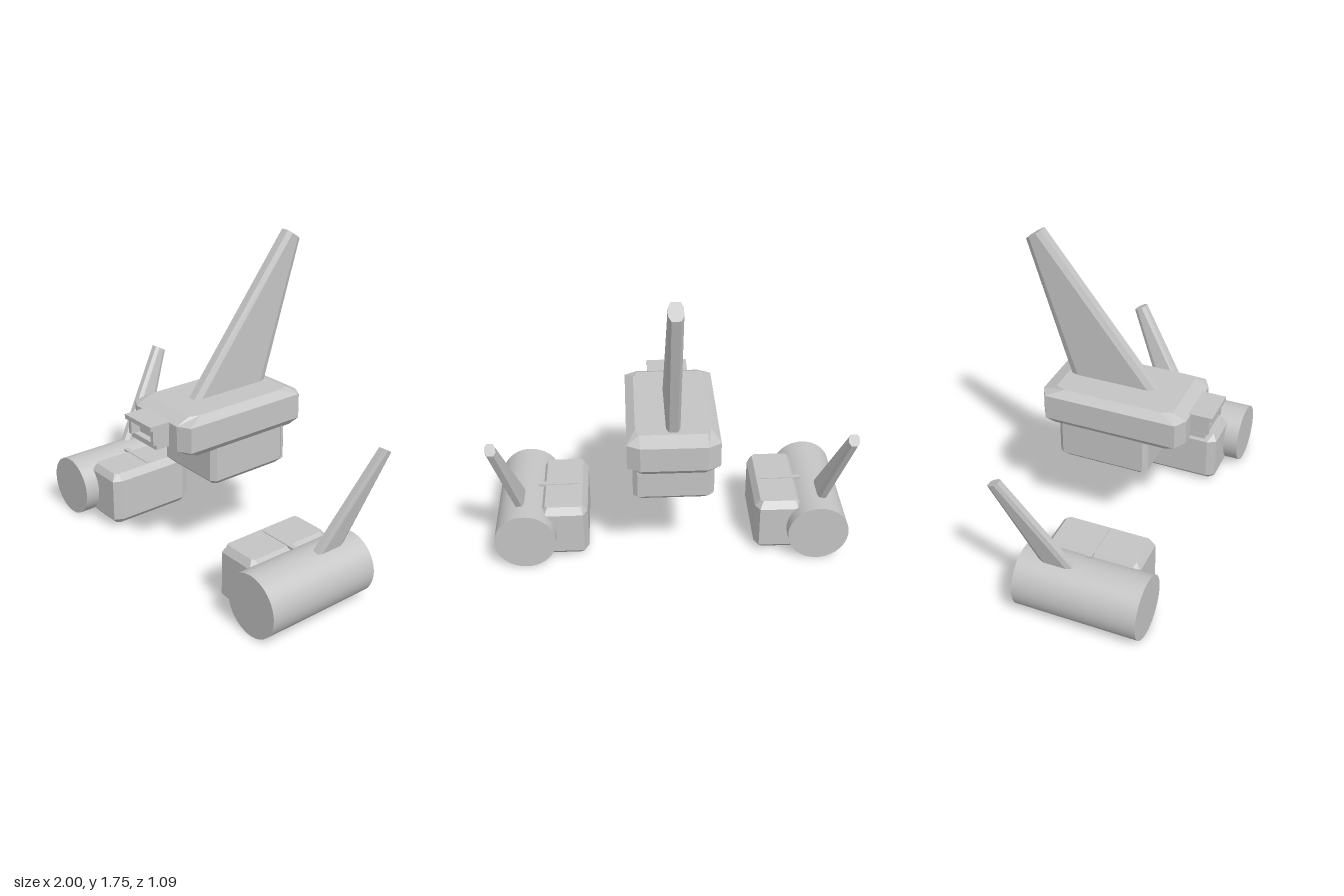
import * as THREE from 'three';

const grey = new THREE.MeshStandardMaterial({ color: 0xc4c4c4 });
grey.name = 'light grey';

// Flat-faced solid through rings of points, bottom to top,
// each ring anticlockwise seen from above
function loft(rings) {
  const pos = [];
  const tri = (...pts) => pts.forEach((p) => pos.push(...p));
  const n = rings[0].length;
  for (let i = 0; i < rings.length - 1; i++) {
    for (let j = 0; j < n; j++) {
      const k = (j + 1) % n;
      const [a, b, c, d] = [rings[i][j], rings[i][k], rings[i + 1][k], rings[i + 1][j]];
      tri(a, b, c);
      tri(a, c, d);
    }
  }
  const low = rings[0], top = rings[rings.length - 1];
  for (let j = 1; j < n - 1; j++) {
    tri(low[0], low[j + 1], low[j]);
    tri(top[0], top[j], top[j + 1]);
  }
  const g = new THREE.BufferGeometry();
  g.setAttribute('position', new THREE.Float32BufferAttribute(pos, 3));
  g.computeVertexNormals();
  return g;
}

// Rectangle with cut corners at height y
function cutRect(y, hw, front, back, cx, cz) {
  return [
    [hw, front - cz], [hw, back + cz], [hw - cx, back], [cx - hw, back],
    [-hw, back + cz], [-hw, front - cz], [cx - hw, front], [hw - cx, front],
  ].map(([x, z]) => [x, y, z]);
}

// Swept fin: tip edge is slanted, front and rear edges are chamfered
function fin({ yBase, yTip, zBase, zTip, half, edge, cut, lean = 0, sink }) {
  const [f0, r0] = zBase, [f1, r1] = zTip, [yf, yr] = yTip;
  const ring = (front, rear, yFront, yRear, c) => [
    [edge, front], [half, front - c], [half, rear + c], [edge, rear],
    [-edge, rear], [-half, rear + c], [-half, front - c], [-edge, front],
  ].map(([x, z]) => {
    const y = yRear + (yFront - yRear) * (z - rear) / (front - rear);
    return [x + lean * (y - yBase), y, z];
  });
  const base = ring(
    f0 + sink * (f0 - f1) / (yf - yBase), r0 + sink * (r0 - r1) / (yr - yBase),
    yBase - sink, yBase - sink, cut);
  return loft([base, ring(f1, r1, yf, yr, cut * 0.6)]);
}

export function createModel() {
  const model = new THREE.Group();
  const add = (name, geometry, parent = model) => {
    const mesh = new THREE.Mesh(geometry, grey);
    mesh.name = name;
    parent.add(mesh);
    return mesh;
  };
  const box = (name, w, h, d, x, y, z, parent = model) =>
    add(name, new THREE.BoxGeometry(w, h, d), parent).position.set(x, y, z);

  // Central hull with bevelled deck
  add('hull', loft([
    cutRect(0.715, 0.215, 0.36, -0.36, 0.05, 0.04),
    cutRect(0.755, 0.247, 0.425, -0.4, 0.07, 0.04),
    cutRect(0.895, 0.247, 0.425, -0.4, 0.07, 0.04),
    cutRect(0.93, 0.2, 0.35, -0.32, 0.02, 0.06),
  ]));

  // Box under the hull, with a thin strip by each rear corner
  add('lowerHull', loft([
    cutRect(0.492, 0.185, 0.185, -0.265, 0.02, 0.02),
    cutRect(0.525, 0.218, 0.22, -0.3, 0.025, 0.025),
    cutRect(0.74, 0.218, 0.22, -0.3, 0.025, 0.025),
  ]));
  for (const s of [-1, 1]) box('lowerHullStrip', 0.008, 0.2, 0.012, s * 0.218, 0.63, -0.262);

  // Stepped open intake on the nose
  const intake = new THREE.Group();
  intake.name = 'noseIntake';
  model.add(intake);
  box('intakeRoof', 0.23, 0.025, 0.165, 0, 0.888, 0.4625, intake);
  box('intakeFloor', 0.22, 0.028, 0.13, 0, 0.776, 0.442, intake);
  box('intakeBack', 0.2, 0.09, 0.1, 0, 0.832, 0.42, intake);
  for (const s of [-1, 1]) box('intakeWall', 0.022, 0.088, 0.145, s * 0.098, 0.833, 0.4525, intake);

  // Tall swept fin on the deck
  add('mainFin', fin({
    yBase: 0.93, yTip: [1.752, 1.692], zBase: [0.19, -0.3], zTip: [-0.455, -0.542],
    half: 0.038, edge: 0.023, cut: 0.04, sink: 0.04,
  }));

  // Engine pod, once per side
  for (const s of [-1, 1]) {
    const pod = new THREE.Group();
    pod.name = s > 0 ? 'leftPod' : 'rightPod';
    model.add(pod);

    const drum = add('drum', new THREE.CylinderGeometry(0.172, 0.172, 0.69, 48), pod);
    drum.rotation.x = Math.PI / 2;
    drum.position.set(s * 0.827, 0.173, 0.13);

    const inner = add('innerBox', loft([
      cutRect(0.012, 0.1, 0.36, -0.11, 0.015, 0.015),
      cutRect(0.048, 0.135, 0.39, -0.145, 0.025, 0.05),
      cutRect(0.295, 0.135, 0.39, -0.145, 0.025, 0.05),
      cutRect(0.335, 0.105, 0.365, -0.115, 0.015, 0.015),
    ]), pod);
    inner.position.x = s * 0.61;
    box('innerBoxRib', 0.24, 0.014, 0.03, s * 0.64, 0.332, 0.12, pod);

    // Small fin leaning outwards
    add('podFin', fin({
      yBase: 0.335, yTip: [0.86, 0.825], zBase: [0.08, -0.105], zTip: [-0.255, -0.318],
      half: 0.029, edge: 0.017, cut: 0.03, lean: s * 0.2, sink: 0.06,
    }), pod).position.x = s * 0.857;
  }
  return model;
}
